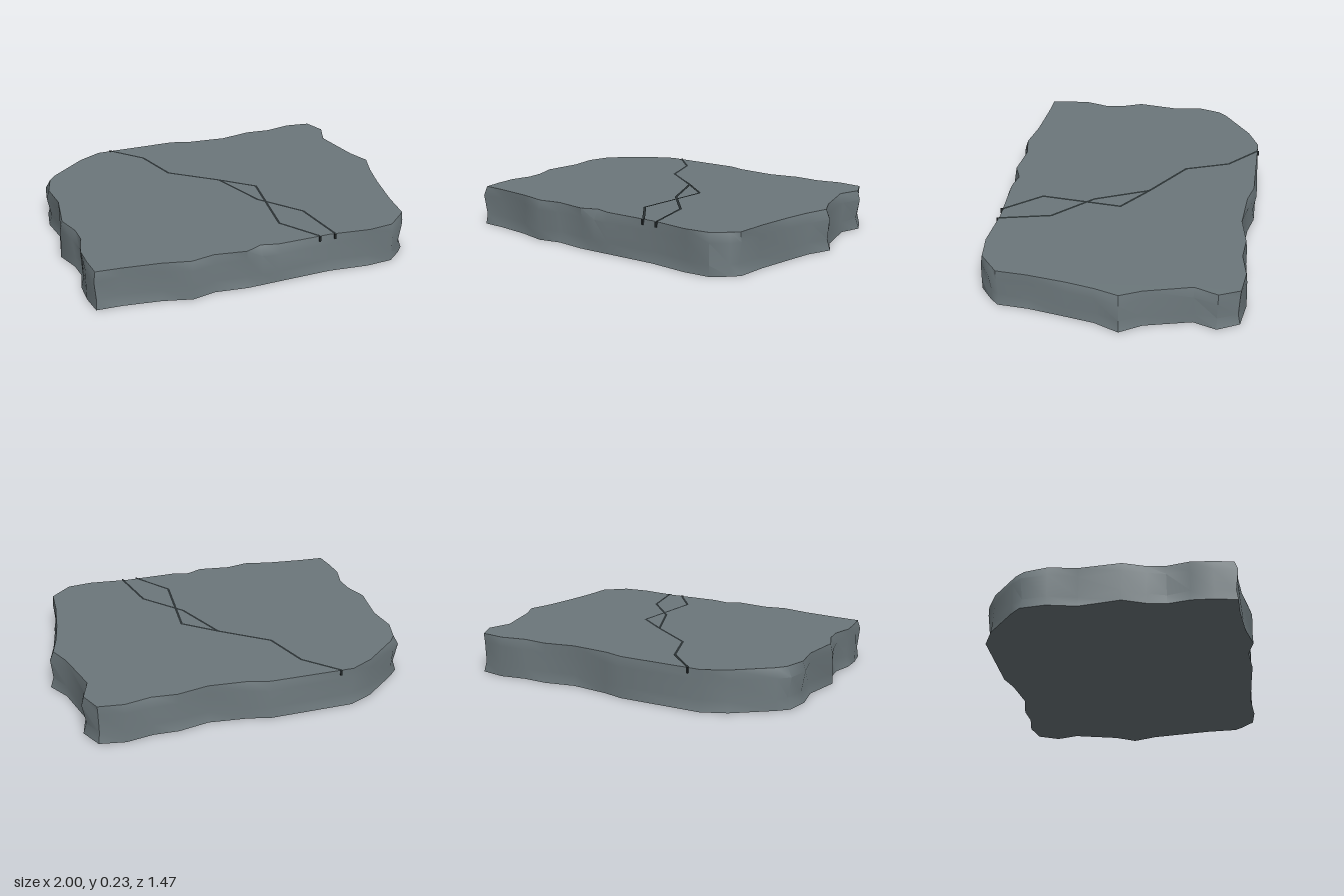
import * as THREE from 'three';
import { toCreasedNormals } from 'three/addons/utils/BufferGeometryUtils.js';

const HEIGHT = 0.228;
const CRACK_WIDTH = 0.014;

// Broken outline as [x, z], from the back left corner round by the right side
const OUTLINE = [
  [-0.97, -0.46], [-0.915, -0.52], [-0.715, -0.67], [-0.58, -0.73], [-0.1, -0.74], [0.015, -0.71],
  [0.235, -0.68], [0.41, -0.715], [0.55, -0.715], [0.7, -0.74], [0.845, -0.71], [0.905, -0.59],
  [0.87, -0.46], [0.93, -0.2], [1.0, -0.08], [0.95, 0.06], [0.925, 0.215], [0.885, 0.43],
  [0.875, 0.6], [0.84, 0.65], [0.755, 0.72], [0.605, 0.725], [0.38, 0.705], [0.075, 0.72],
  [-0.02, 0.72], [-0.11, 0.72], [-0.29, 0.705], [-0.42, 0.735], [-0.58, 0.69], [-0.79, 0.665],
  [-0.935, 0.665], [-0.96, 0.54], [-0.957, 0.42], [-0.93, 0.295], [-0.95, 0.2], [-1.0, 0.07],
  [-0.957, -0.16], [-0.99, -0.32],
].map(([x, z]) => new THREE.Vector2(x, z));

// Heights of the rings and how far each is worn back from the outline
const LEVELS = [[0, 0.002], [0.06, 0.014], [0.175, 0.006], [HEIGHT, 0.015]];
// Chipped places on the top rim: outline index to inset
const CHIPS = { 0: 0.03, 14: 0.03, 24: 0.045, 35: 0.025 };

function ring(level) {
  const [y, wear] = LEVELS[level];
  const n = OUTLINE.length;
  return OUTLINE.map((p, i) => {
    const along = OUTLINE[(i + 1) % n].clone().sub(OUTLINE[(i + n - 1) % n]).normalize();
    let inset = Math.max(0, wear + 0.008 * Math.sin(i * 1.7 + level * 2.1));
    if (level === 0) inset = Math.min(inset, 0.006);
    if (level === 3 && CHIPS[i]) inset = CHIPS[i];
    return new THREE.Vector3(p.x - along.y * inset, y, p.y + along.x * inset);
  });
}

// Stacked rings closed by a flat top and bottom
function slabGeometry() {
  const rings = LEVELS.map((_, k) => ring(k));
  const n = OUTLINE.length;
  const verts = [];
  const tri = (...points) => points.forEach((p) => verts.push(p.x, p.y, p.z));
  for (let k = 0; k < rings.length - 1; k++) {
    for (let i = 0; i < n; i++) {
      const j = (i + 1) % n;
      tri(rings[k][i], rings[k + 1][i], rings[k + 1][j]);
      tri(rings[k][i], rings[k + 1][j], rings[k][j]);
    }
  }
  const cap = (r, up) => {
    const flat = r.map((p) => new THREE.Vector2(p.x, p.z));
    for (const [a, b, c] of THREE.ShapeUtils.triangulateShape(flat, [])) {
      if (up) tri(r[a], r[c], r[b]);
      else tri(r[a], r[b], r[c]);
    }
  };
  cap(rings[rings.length - 1], true);
  cap(rings[0], false);
  const geometry = new THREE.BufferGeometry();
  geometry.setAttribute('position', new THREE.Float32BufferAttribute(verts, 3));
  return toCreasedNormals(geometry, 0.75);
}

// Flat mitred ribbon following a crack
function crackGeometry(path) {
  const pts = path.map(([x, z]) => new THREE.Vector2(x, z));
  const verts = [];
  const index = [];
  pts.forEach((p, i) => {
    const before = p.clone().sub(pts[Math.max(i - 1, 0)]).normalize();
    const after = pts[Math.min(i + 1, pts.length - 1)].clone().sub(p).normalize();
    const dir = before.clone().add(after).normalize();
    const ref = after.length() > 0 ? after : before;
    const half = CRACK_WIDTH / 2 / Math.max(0.5, dir.dot(ref));
    for (const s of [-1, 1]) verts.push(p.x - dir.y * half * s, HEIGHT + 0.002, p.y + dir.x * half * s);
    if (i > 0) {
      const a = 2 * i - 2;
      index.push(a, a + 1, a + 2, a + 1, a + 3, a + 2);
    }
  });
  const geometry = new THREE.BufferGeometry();
  geometry.setAttribute('position', new THREE.Float32BufferAttribute(verts, 3));
  geometry.setIndex(index);
  geometry.computeVertexNormals();
  return geometry;
}

export function createModel() {
  const stone = new THREE.MeshStandardMaterial({ color: 0x6c777b });
  stone.name = 'stone grey';
  const dark = new THREE.MeshStandardMaterial({ color: 0x2b3234 });
  dark.name = 'crack grey';

  const model = new THREE.Group();
  model.name = 'crackedStoneSlab';
  const add = (name, geometry, material) => {
    const mesh = new THREE.Mesh(geometry, material);
    mesh.name = name;
    model.add(mesh);
    return mesh;
  };

  add('slab', slabGeometry(), stone);

  // Cracks across the top
  add('mainCrack', crackGeometry([[-0.505, -0.722], [-0.335, -0.555], [-0.245, -0.305], [0.015, -0.115],
    [0.195, 0.03], [0.16, 0.49], [0.315, 0.692]]), dark);
  add('branchCrack', crackGeometry([[0.015, -0.115], [0.145, 0.19], [0.34, 0.405], [0.405, 0.694]]), dark);

  // Short runs of the cracks down the broken edge
  [[0.315, 0.697], [0.405, 0.697], [-0.505, -0.722]].forEach(([x, z], i) => {
    const mesh = add('edgeCrack' + (i + 1), new THREE.BoxGeometry(0.009, 0.03, 0.02), dark);
    mesh.position.set(x, HEIGHT - 0.0135, z);
  });
  return model;
}
